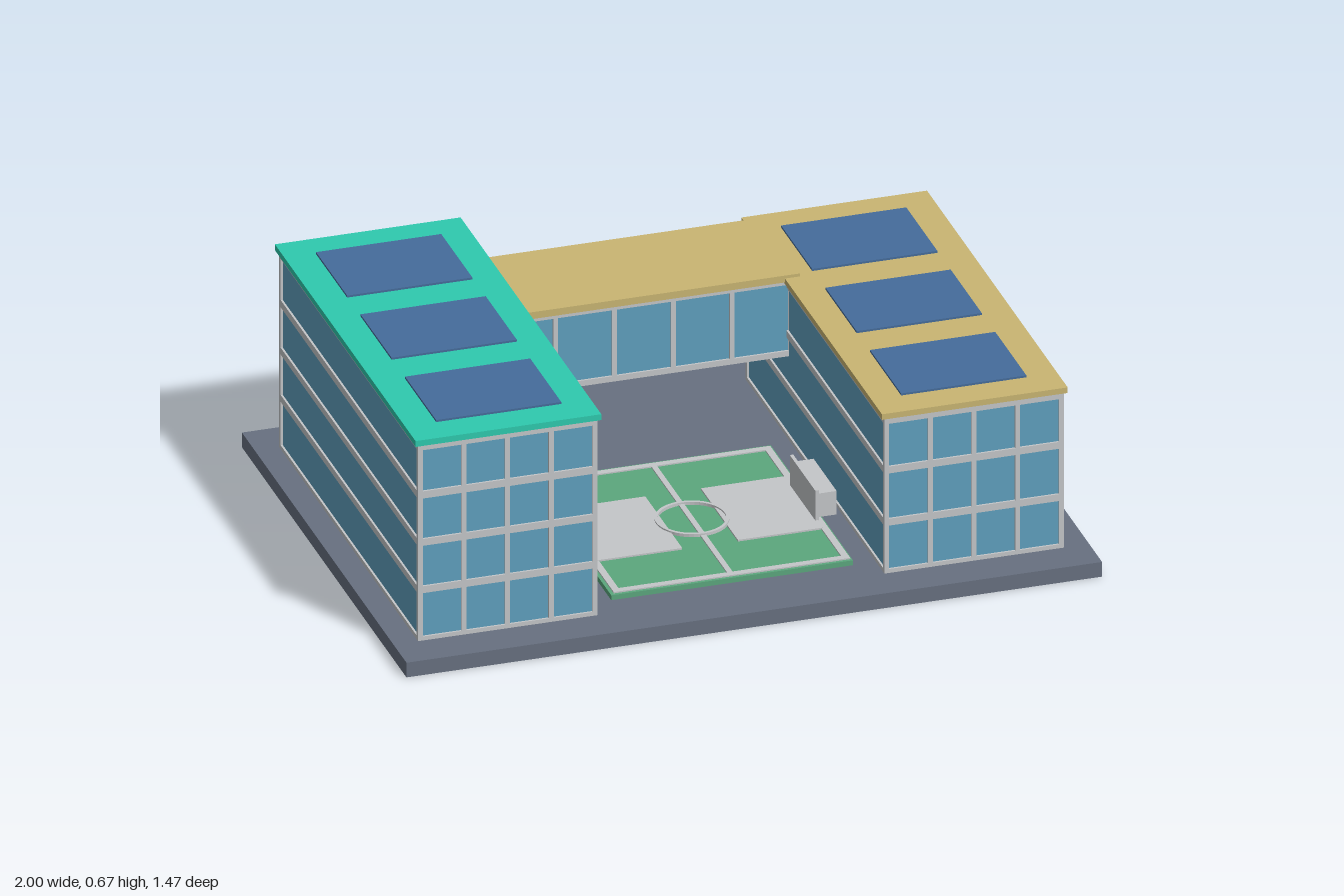
import * as THREE from 'three';

const mat = (name, color) => Object.assign(new THREE.MeshStandardMaterial({ color }), { name });

export function createModel() {
  const M = {
    paving: mat('paving slate', 0x677080),
    glass: mat('window blue', 0x5f9fbe),
    frame: mat('light grey', 0xc4c6c8),
    teal: mat('teal roof', 0x2ecaae),
    sand: mat('sand roof', 0xc9b572),
    solar: mat('solar blue', 0x456c9b),
    turf: mat('court green', 0x5ba77d),
  };
  const model = new THREE.Group();
  model.name = 'campus';

  const group = (name) => {
    const g = new THREE.Group();
    g.name = name;
    model.add(g);
    return g;
  };
  // Box given by its limits on each axis
  const box = (parent, name, material, [x0, x1], [y0, y1], [z0, z1]) => {
    const mesh = new THREE.Mesh(new THREE.BoxGeometry(x1 - x0, y1 - y0, z1 - z0), material);
    mesh.position.set((x0 + x1) / 2, (y0 + y1) / 2, (z0 + z1) / 2);
    mesh.name = name;
    parent.add(mesh);
    return mesh;
  };

  // Glazed block: recessed glass core, floor bands and front/back mullions
  const glazedBlock = (g, [x0, x1], [y0, y1], [z0, z1], bands, bays) => {
    const r = 0.006, post = 0.014;
    box(g, 'glass', M.glass, [x0 + r, x1 - r], [y0 + r, y1 - r], [z0 + r, z1 - r]);
    bands.forEach(([a, b]) => box(g, 'floorBand', M.frame, [x0, x1], [a, b], [z0, z1]));
    for (let i = 0; i <= bays; i++) {
      const x = x0 + (post / 2) + (x1 - x0 - post) * i / bays;
      for (const [a, b] of [[z0, z0 + post], [z1 - post, z1]]) {
        box(g, 'mullion', M.frame, [x - post / 2, x + post / 2], [y0, y1], [a, b]);
      }
    }
  };

  // Ground slab
  const ground = 0.045;
  box(model, 'groundSlab', M.paving, [-1, 1], [0, ground], [-0.735, 0.735]);

  // Two wings with flat roofs and three solar panels each
  const wings = [
    { name: 'rightWing', x: [-0.93, -0.414], top: 0.645, roofTop: 0.663, roof: M.teal,
      bands: [[0.19, 0.211], [0.335, 0.356], [0.48, 0.502], [0.628, 0.645]], panel: [-0.85, -0.49] },
    { name: 'leftWing', x: [0.411, 0.927], top: 0.521, roofTop: 0.538, roof: M.sand,
      bands: [[0.19, 0.211], [0.35, 0.371], [0.502, 0.521]], panel: [0.487, 0.847] },
  ];
  for (const w of wings) {
    const g = group(w.name);
    glazedBlock(g, w.x, [ground, w.top], [-0.62, 0.62], [[ground, 0.057], ...w.bands], 4);
    box(g, 'roof', w.roof, [w.x[0] - 0.009, w.x[1] + 0.009], [w.top, w.roofTop], [-0.63, 0.627]);
    for (const z of [-0.4, -0.003, 0.395]) {
      box(g, 'solarPanel', M.solar, w.panel, [w.roofTop, w.roofTop + 0.006], [z - 0.139, z + 0.139]);
    }
  }

  // Raised bridge between the wings
  const bridge = group('bridge');
  glazedBlock(bridge, [-0.43, 0.43], [0.293, 0.526], [-0.585, -0.25],
    [[0.293, 0.31], [0.512, 0.526]], 5);
  box(bridge, 'bridgeRoof', M.sand, [-0.407, 0.445], [0.526, 0.547], [-0.595, -0.24]);

  // Sports court
  const court = group('court');
  const zMid = 0.178, turfTop = 0.06;
  box(court, 'turf', M.turf, [-0.35, 0.345], [ground, turfTop], [-0.19, 0.545]);
  const line = [turfTop - 0.004, turfTop + 0.004];
  for (const s of [-1, 1]) {
    const span = (a, b) => (s > 0 ? [a, b] : [-b, -a]);
    box(court, 'sideLine', M.frame, span(0.32, 0.34), line, [-0.18, 0.535]);
    const z = zMid + s * 0.348;
    box(court, 'endLine', M.frame, [-0.34, 0.34], line, [z - 0.01, z + 0.01]);
    box(court, 'keyArea', M.frame, span(0.08, 0.325), [turfTop - 0.004, turfTop + 0.005], [0.01, 0.34]);
    // Goal stand with backboard
    box(court, 'goalStand', M.frame, span(0.325, 0.383), [0.068, 0.14], [0.075, 0.281]);
    box(court, 'backboard', M.frame, span(0.318, 0.328), [0.06, 0.156], [0.064, 0.292]);
  }
  box(court, 'centreLine', M.frame, [-0.008, 0.008], line, [-0.175, 0.53]);

  // Centre circle
  const ring = new THREE.Shape().absarc(0, 0, 0.103, 0, Math.PI * 2);
  ring.holes.push(new THREE.Path().absarc(0, 0, 0.094, 0, Math.PI * 2, true));
  const circle = new THREE.Mesh(
    new THREE.ExtrudeGeometry(ring, { depth: 0.009, bevelEnabled: false, curveSegments: 24 }), M.frame);
  circle.rotation.x = -Math.PI / 2;
  circle.position.set(0, turfTop, zMid);
  circle.name = 'centreCircle';
  court.add(circle);

  return model;
}
